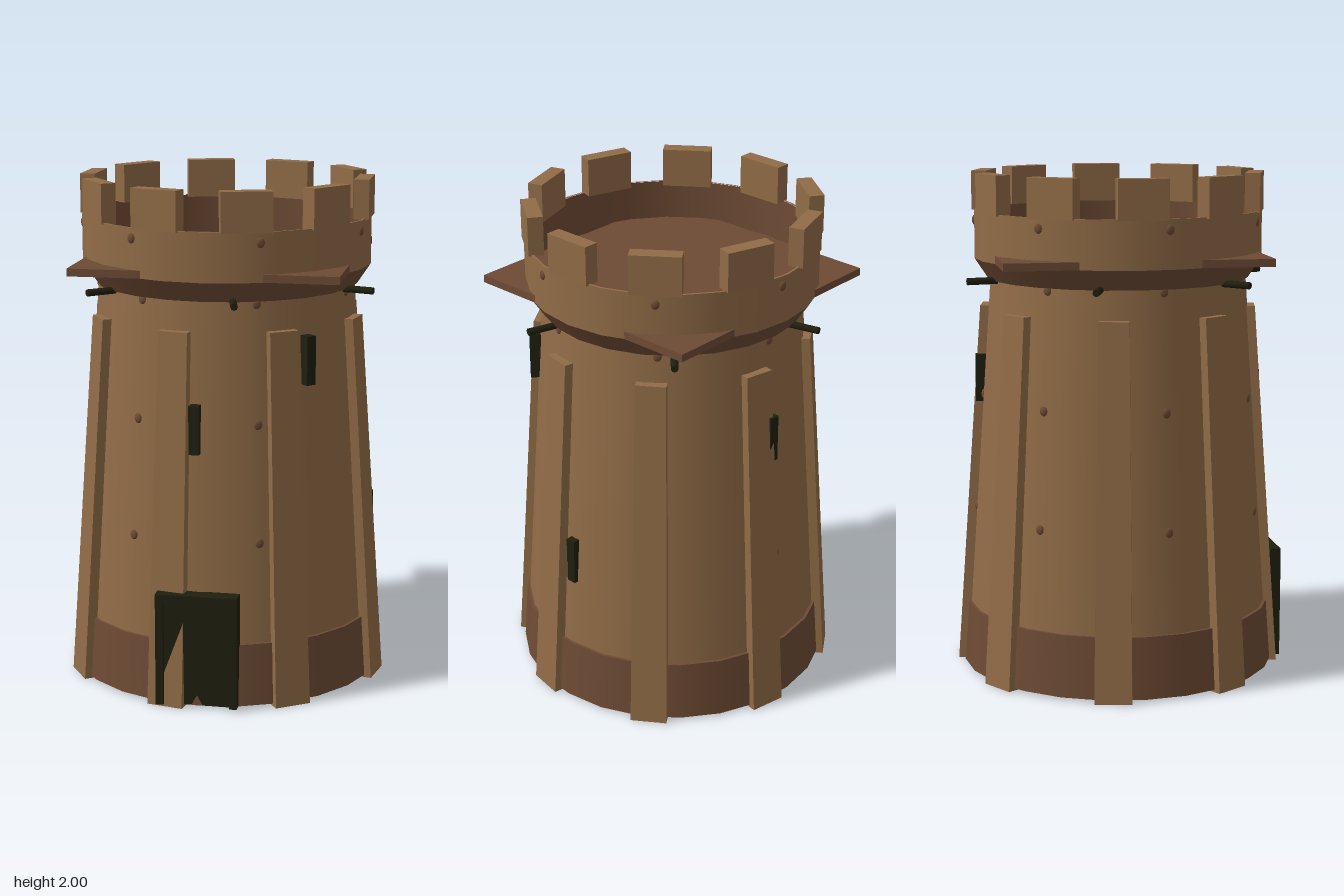
import * as THREE from 'three';

export function createModel() {
  const tower = new THREE.Group();
  tower.name = 'tower';
  const mat = (name, color, side = THREE.FrontSide) =>
    Object.assign(new THREE.MeshStandardMaterial({ color, side }), { name });
  const tan = mat('tan stone', 0x916c47);
  const brown = mat('brown stone', 0x6e4b34, THREE.DoubleSide);
  const dark = mat('dark wood', 0x1f1f0f);
  const SIDES = 24, DEG = Math.PI / 180;

  const add = (name, geo, material, parent = tower) => {
    const mesh = new THREE.Mesh(geo, material);
    mesh.name = name;
    parent.add(mesh);
    return mesh;
  };
  // angle is measured from the front (+z) towards +x
  const place = (mesh, angle, r, y) => {
    mesh.position.set(Math.sin(angle) * r, y, Math.cos(angle) * r);
    mesh.rotation.y = angle;
    return mesh;
  };
  const ring = (name, rTop, rBottom, y0, y1, material, open = true) => {
    const mesh = add(name, new THREE.CylinderGeometry(rTop, rBottom, y1 - y0, SIDES, 1, open), material);
    mesh.position.y = (y0 + y1) / 2;
    return mesh;
  };
  const disc = (name, inner, outer, y, material) => {
    const mesh = add(name, new THREE.RingGeometry(inner, outer, SIDES), material);
    mesh.rotation.x = -Math.PI / 2;
    mesh.position.y = y;
  };

  // Shaft, footing and flared parapet
  ring('shaft', 0.512, 0.622, 0.02, 1.6, tan);
  ring('footing', 0.617, 0.635, 0.01, 0.255, brown, false);
  ring('parapetFlare', 0.575, 0.522, 1.58, 1.66, brown);
  ring('parapetWall', 0.575, 0.575, 1.66, 1.85, tan);
  ring('parapetLining', 0.566, 0.566, 1.66, 1.849, brown);
  disc('parapetRim', 0.566, 0.575, 1.85, tan);
  disc('roofDeck', 0, 0.57, 1.67, brown);

  // Square roof slab whose corners stick out through the parapet
  add('roofSlab', new THREE.BoxGeometry(1.04, 0.03, 1.04), brown).position.y = 1.675;

  // Merlons
  for (let i = 0; i < 10; i++) {
    const merlon = add('merlon', new THREE.BoxGeometry(0.195, 0.155, 0.06), tan);
    place(merlon, (90 + i * 36) * DEG, 0.545, 1.9225);
  }

  // Tapered buttresses that lean with the shaft
  const buttressGeo = new THREE.BoxGeometry(1, 1.465, 0.08);
  buttressGeo.translate(0, 0.7325, 0);
  const p = buttressGeo.attributes.position;
  for (let i = 0; i < p.count; i++) {
    const top = p.getY(i) > 0.7;
    p.setX(i, p.getX(i) * (top ? 0.118 : 0.146));
    p.setZ(i, p.getZ(i) + (top ? 0.51 : 0.615));
  }
  buttressGeo.computeVertexNormals();
  for (let i = 0; i < 8; i++) {
    add('buttress', buttressGeo, tan).rotation.y = (-11.25 + i * 45) * DEG;
  }

  // Wooden pegs beneath the parapet
  const pegGeo = new THREE.CylinderGeometry(0.014, 0.014, 0.17, 8).rotateX(Math.PI / 2);
  for (let i = 0; i < 6; i++) {
    place(add('peg', pegGeo, dark), (13 + i * 60) * DEG, 0.55, 1.583);
  }

  // Slit windows: angle, centre height, outer radius
  for (const [a, y, r] of [[-2, 1.095, 0.58], [45, 1.345, 0.568], [90, 0.635, 0.6], [175, 1.175, 0.575]]) {
    const slit = add('slitWindow', new THREE.BoxGeometry(0.04, 0.19, 0.045), dark);
    place(slit, a * DEG, r - 0.0225, y);
  }

  // Small knobs of darker stone
  const knobGeo = new THREE.IcosahedronGeometry(1, 1).scale(0.017, 0.02, 0.009);
  for (const [y, r] of [[0.65, 0.576], [1.11, 0.544], [1.57, 0.512], [1.81, 0.573]]) {
    for (let i = 0; i < 7; i++) {
      place(add('stoneKnob', knobGeo, brown), (-28.3 + i * 360 / 7) * DEG, r, y);
    }
  }

  // Door: recessed panel inside a frame of two posts and a lintel
  const door = new THREE.Group();
  door.name = 'door';
  tower.add(door);
  const part = (name, w, h, z0, z1, x, y) =>
    add(name, new THREE.BoxGeometry(w, h, z1 - z0), dark, door).position.set(x, y, (z0 + z1) / 2);
  part('doorPanel', 0.26, 0.42, 0.585, 0.632, 0, 0.22);
  for (const s of [-1, 1]) part('doorPost', 0.03, 0.45, 0.585, 0.652, s * 0.145, 0.235);
  part('doorLintel', 0.32, 0.035, 0.585, 0.652, 0, 0.4425);

  return tower;
}
